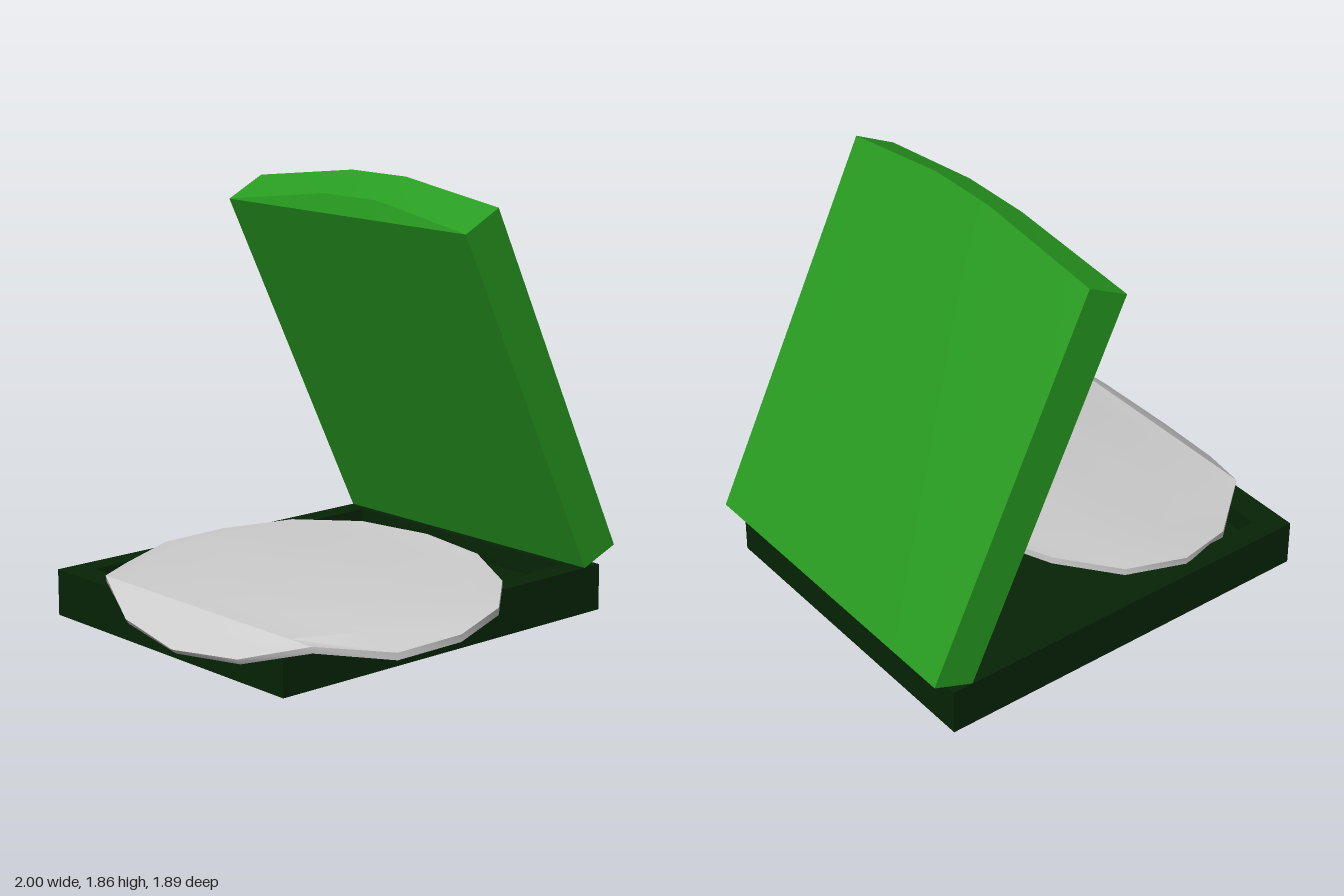
import * as THREE from 'three';
import { toCreasedNormals } from 'three/addons/utils/BufferGeometryUtils.js';

const material = (color) => new THREE.MeshStandardMaterial({ color });

// Skin closed cross-sections, each running counterclockwise about the loft direction.
function loft(rings) {
  const out = [];
  const tri = (a, b, c) => out.push(...a, ...b, ...c);
  const n = rings[0].length;
  for (let i = 0; i < rings.length - 1; i++) {
    for (let j = 0; j < n; j++) {
      const k = (j + 1) % n;
      tri(rings[i][j], rings[i][k], rings[i + 1][k]);
      tri(rings[i][j], rings[i + 1][k], rings[i + 1][j]);
    }
  }
  const first = rings[0], last = rings[rings.length - 1];
  for (let j = 1; j < n - 1; j++) {
    tri(first[0], first[j + 1], first[j]);
    tri(last[0], last[j], last[j + 1]);
  }
  const g = new THREE.BufferGeometry();
  g.setAttribute('position', new THREE.Float32BufferAttribute(out, 3));
  return toCreasedNormals(g, 0.55);
}

function rectangle(Path, x0, x1, z0, z1) {
  return new Path([[x0, -z0], [x0, -z1], [x1, -z1], [x1, -z0]].map((p) => new THREE.Vector2(...p)));
}

export function createModel() {
  const model = new THREE.Group();
  const add = (name, geometry, mat, parent = model) => {
    const mesh = new THREE.Mesh(geometry, mat);
    mesh.name = name;
    parent.add(mesh);
    return mesh;
  };

  // Shallow tray: floor slab with a raised rim
  const base = new THREE.Group();
  base.name = 'base';
  model.add(base);
  const dark = material(0x062406);
  const [x0, x1, z0, z1] = [-0.85, 0.91, -0.95, 0.52];
  const floorTop = 0.11, rimX = 0.12, rimZ = 0.1;
  add('floor', new THREE.BoxGeometry(x1 - x0, floorTop, z1 - z0), dark, base)
    .position.set((x0 + x1) / 2, floorTop / 2, (z0 + z1) / 2);
  const rim = rectangle(THREE.Shape, x0, x1, z0, z1);
  rim.holes.push(rectangle(THREE.Path, x0 + rimX, x1 - rimX, z0 + rimZ, z1 - rimZ));
  add('rim', new THREE.ExtrudeGeometry(rim, { depth: 0.2 - floorTop, bevelEnabled: false })
    .rotateX(-Math.PI / 2).translate(0, floorTop, 0), dark, base);

  // Leaning lid whose upper edge rises in the middle
  const lidRings = [[z0, 0], [-0.35, 1], [-0.02, 1], [z1, 0]].map(([z, rise]) => [
    [0.82, 0.2, z],
    [1.0, 0.27, z],
    [0.28, 1.78 + 0.075 * rise, z],
    [0.1 + 0.02 * rise, 1.69 + 0.08 * rise, z],
    [0.1, 1.69, z],
  ]);
  add('lid', loft(lidRings), material(0x289c20));

  // Thin oval sheet draped over the tray:
  // [x, half width, height, sag at back, sag at front, sideways shift of the underside]
  const sections = [
    [-1.0, 0.01, 0.11, 0, 0, 0.02],
    [-0.96, 0.355, 0.145, 0, 0, 0.015],
    [-0.84, 0.65, 0.24, 0, 0, 0.005],
    [-0.585, 0.85, 0.255, 0.05, 0.045, 0],
    [-0.32, 0.92, 0.275, 0.04, 0.032, 0],
    [-0.05, 0.85, 0.297, 0.035, 0.018, 0],
    [0.17, 0.65, 0.315, 0.012, 0.012, 0],
    [0.32, 0.355, 0.326, 0, 0, 0],
    [0.37, 0.01, 0.33, 0, 0, 0],
  ];
  const sheetRings = sections.map(([x, half, y, backSag, frontSag, shift]) => {
    const top = [[-1, backSag], [-0.8, 0], [0.8, 0], [1, frontSag]]
      .map(([t, drop]) => [x, y - drop, 0.025 + half * t]);
    const bottom = top.map(([px, py, pz]) => [px + shift, py - 0.03 + shift / 2, pz]).reverse();
    return [...top, ...bottom];
  });
  add('ovalSheet', loft(sheetRings), material(0xcccccc));

  return model;
}
